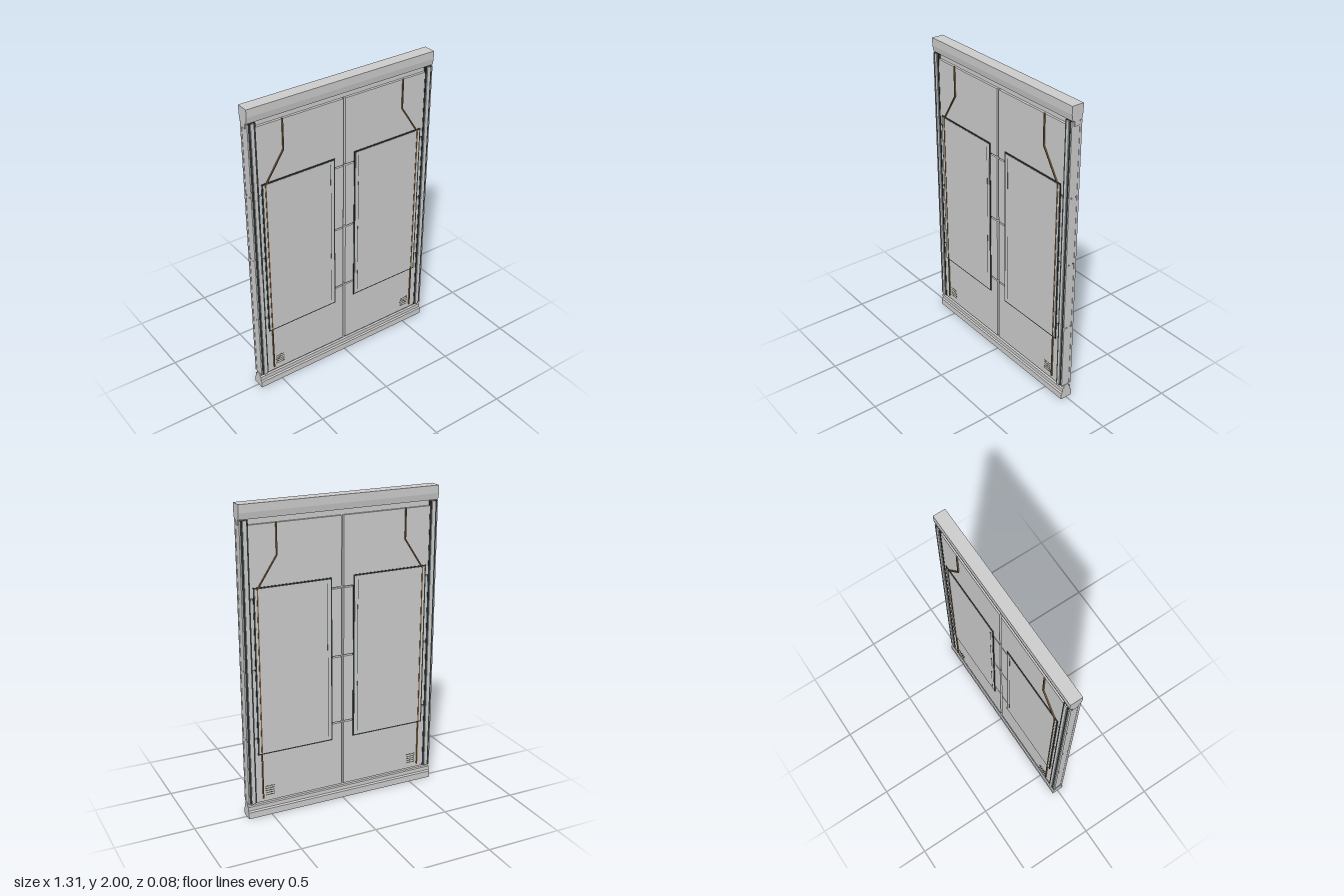
import * as THREE from 'three';

const grey = new THREE.MeshStandardMaterial({ color: 0xcccccc });
const dark = new THREE.MeshStandardMaterial({ color: 0x2c3635 });
const copper = new THREE.MeshStandardMaterial({ color: 0x80603a });
const slot = new THREE.MeshStandardMaterial({ color: 0x5c5748 });

// Box given by its extents on each axis
function box(parent, name, mat, [x0, x1], [y0, y1], [z0, z1]) {
  const mesh = new THREE.Mesh(new THREE.BoxGeometry(x1 - x0, y1 - y0, z1 - z0), mat);
  mesh.position.set((x0 + x1) / 2, (y0 + y1) / 2, (z0 + z1) / 2);
  mesh.name = name;
  parent.add(mesh);
  return mesh;
}

// Symmetric rail: half profile of [z, y] points, bottom to top, swept along x
function rail(name, half, width) {
  const points = [...half, ...half.map(([z, y]) => [-z, y]).reverse()];
  const shape = new THREE.Shape(points.map(([z, y]) => new THREE.Vector2(z, y)));
  const geo = new THREE.ExtrudeGeometry(shape, { depth: width, bevelEnabled: false });
  geo.translate(0, 0, -width / 2).rotateY(Math.PI / 2);
  const mesh = new THREE.Mesh(geo, grey);
  mesh.name = name;
  return mesh;
}

// Flat conduit following a path of [x, y] points on the wall
function conduit(parent, path) {
  for (let i = 0; i + 1 < path.length; i++) {
    const [ax, ay] = path[i], [bx, by] = path[i + 1];
    const length = Math.hypot(bx - ax, by - ay) + 0.003;
    const mesh = new THREE.Mesh(new THREE.BoxGeometry(0.007, length, 0.009), copper);
    mesh.position.set((ax + bx) / 2, (ay + by) / 2, 0.0375);
    mesh.rotation.z = Math.atan2(ax - bx, by - ay);
    mesh.name = 'conduit';
    parent.add(mesh);
  }
}

function createFace() {
  const face = new THREE.Group();
  face.name = 'wallFace';
  const rows = [[0.1, 0.536], [0.546, 0.984], [0.994, 1.428], [1.438, 1.876]];
  for (const s of [-1, 1]) {
    const span = (a, b) => (s > 0 ? [a, b] : [-b, -a]);

    // Cladding slabs separated by open joints
    for (const row of rows) box(face, 'claddingPanel', grey, span(0.008, 0.65), row, [0.011, 0.034]);

    // Side post: dark channel with a proud grey strip and an end lip
    box(face, 'postChannel', dark, span(0.598, 0.646), [0.1, 1.905], [0.022, 0.036]);
    box(face, 'postStrip', grey, span(0.61, 0.632), [0.1, 1.905], [0.034, 0.042]);
    box(face, 'postLip', grey, span(0.646, 0.652), [0.1, 1.905], [0.022, 0.037]);

    // Raised board with dark surround and a slim seam
    box(face, 'boardSurround', dark, span(0.072, 0.58), [0.427, 1.503], [0.022, 0.0375]);
    box(face, 'board', grey, span(0.081, 0.571), [0.436, 1.494], [0.034, 0.039]);
    box(face, 'boardSeam', dark, span(0.101, 0.104), [0.46, 1.47], [0.038, 0.0394]);

    conduit(face, [[0.427, 1.88], [0.427, 1.685], [0.554, 1.49], [0.554, 0.125]].map(([x, y]) => [s * x, y]));

    // Vent slots
    for (let i = 0; i < 5; i++) {
      const y = 0.138 + i * 0.015;
      box(face, 'ventSlot', slot, span(0.475, 0.537), [y, y + 0.006], [0.033, 0.0346]);
    }
  }
  return face;
}

export function createModel() {
  const model = new THREE.Group();
  model.name = 'wallPanel';

  box(model, 'core', grey, [-0.65, 0.65], [0.05, 1.95], [-0.012, 0.012]);
  model.add(rail('baseRail', [[0.04, 0], [0.04, 0.043], [0.032, 0.052], [0.032, 0.078], [0.018, 0.08], [0.018, 0.1]], 1.31));
  model.add(rail('headerRail', [[0.018, 1.876], [0.018, 1.908], [0.033, 1.91], [0.04, 1.95], [0.04, 2]], 1.31));

  // Same face on front and back
  const front = createFace();
  const back = front.clone();
  back.rotation.y = Math.PI;
  model.add(front, back);
  return model;
}
